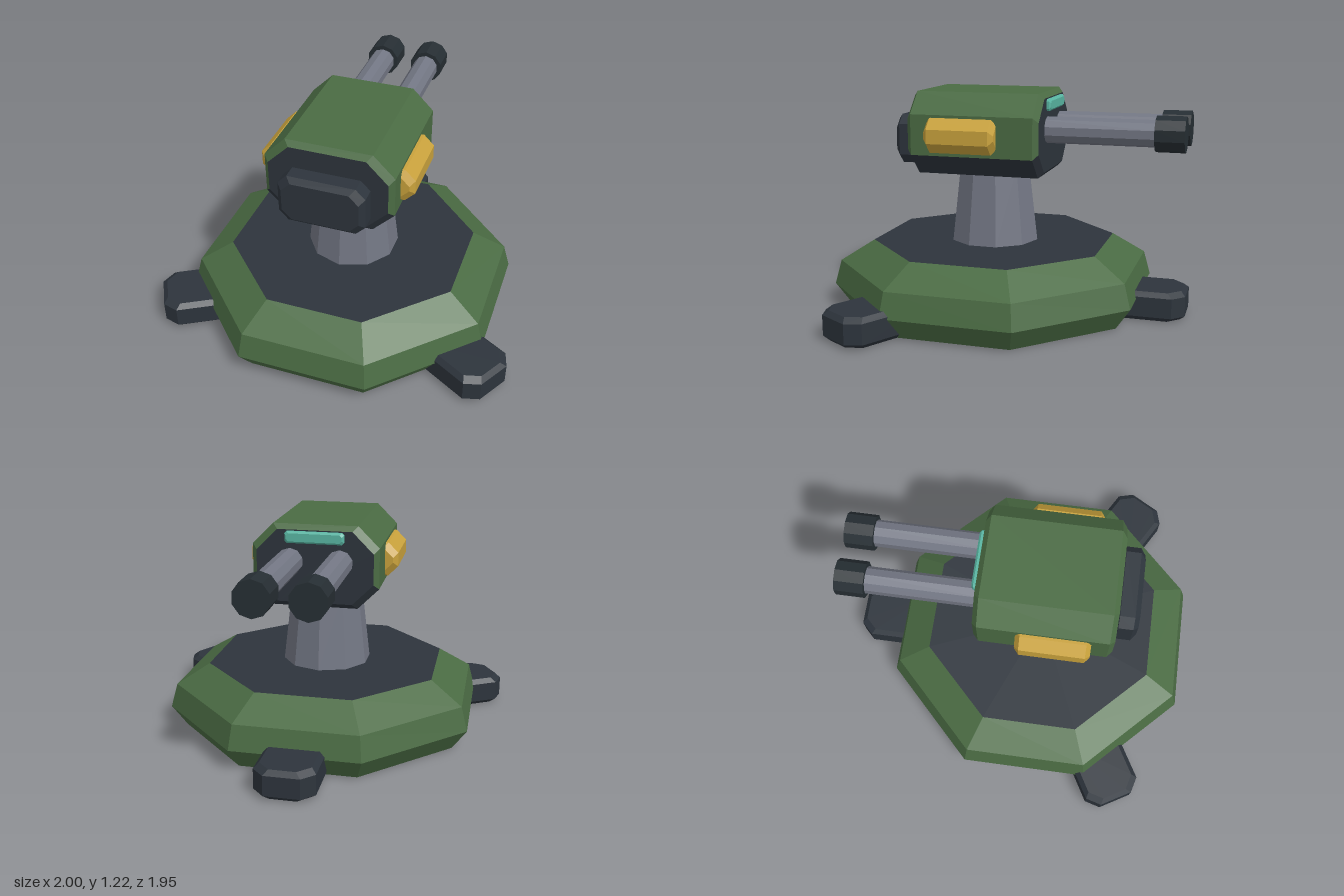
import * as THREE from 'three';

const paint = (name, color) => {
  const m = new THREE.MeshStandardMaterial({ color });
  m.name = name;
  return m;
};

// Faceted copy of a built-in geometry
function faceted(geo) {
  const g = geo.index ? geo.toNonIndexed() : geo;
  g.computeVertexNormals();
  return g;
}

// Octagonal bar along z: half sizes hx, hy, corner cut, z range, bevelled ends.
// pick(side, band) chooses the material index; side 0 is the right flank, counting anticlockwise,
// band 1 is the flank, bands 0 and 2 the bevels; caps use side -1.
function octagonBar(hx, hy, cut, z0, z1, bevel, pick = () => 0) {
  const ring = (b, z) => {
    const x = hx - b, y = hy - b, c = cut;
    return [[x, c - y], [x, y - c], [x - c, y], [c - x, y],
      [-x, y - c], [-x, c - y], [c - x, -y], [x - c, -y]].map(([u, v]) => [u, v, z]);
  };
  const rings = [ring(bevel, z0), ring(0, z0 + bevel), ring(0, z1 - bevel), ring(bevel, z1)];
  const pos = [];
  const geo = new THREE.BufferGeometry();
  const face = (points, material) => {
    const start = pos.length / 3;
    for (let i = 1; i < points.length - 1; i++) pos.push(...points[0], ...points[i], ...points[i + 1]);
    geo.addGroup(start, pos.length / 3 - start, material);
  };
  for (let band = 0; band < 3; band++) {
    for (let i = 0; i < 8; i++) {
      const j = (i + 1) % 8, a = rings[band], b = rings[band + 1];
      face([a[i], a[j], b[j], b[i]], pick(i, band));
    }
  }
  face([...rings[0]].reverse(), pick(-1, 0));
  face(rings[3], pick(-1, 2));
  geo.setAttribute('position', new THREE.Float32BufferAttribute(pos, 3));
  geo.computeVertexNormals();
  return geo;
}

export function createModel() {
  const model = new THREE.Group();
  model.name = 'turret';
  const green = paint('armour green', 0x4a6b43);
  const dark = paint('dark plate', 0x2d343c);
  const gunmetal = paint('gunmetal', 0x262e33);
  const steel = paint('steel grey', 0x727683);
  const yellow = paint('yellow panel', 0xc9a23c);
  const teal = paint('teal sensor', 0x58b5a2);

  const add = (name, geo, material, parent = model, x = 0, y = 0, z = 0) => {
    const mesh = new THREE.Mesh(geo, material);
    mesh.name = name;
    mesh.position.set(x, y, z);
    parent.add(mesh);
    return mesh;
  };

  // Octagonal base, sized by distance to its flats
  const base = new THREE.Group();
  base.name = 'base';
  base.position.z = 0.125;
  model.add(base);
  const toCorner = 1 / Math.cos(Math.PI / 8);
  const profile = [[0, 0], [0.765, 0], [0.845, 0.12], [0.81, 0.255], [0.635, 0.37]]
    .map(([r, y]) => new THREE.Vector2(r * toCorner, y));
  add('baseHull', faceted(new THREE.LatheGeometry(profile, 8).rotateY(Math.PI / 8)), green, base);
  add('baseDeck', new THREE.CircleGeometry(0.635 * toCorner, 8).rotateZ(Math.PI / 8).rotateX(-Math.PI / 2),
    dark, base, 0, 0.37, 0);

  // Three feet, one at the back and two towards the front
  for (let i = 0; i < 3; i++) {
    const leg = new THREE.Group();
    leg.name = 'foot' + (i + 1);
    leg.rotation.y = i * Math.PI * 2 / 3;
    base.add(leg);
    add('footPad', octagonBar(0.16, 0.24, 0.065, 0, 0.16, 0.025).rotateX(-Math.PI / 2), dark, leg, 0, 0, -0.86);
  }

  // Tapered column
  add('column', faceted(new THREE.CylinderGeometry(0.2, 0.25, 0.43, 10)), steel, base, 0, 0.585, 0);

  // Head: green upper shell, dark ends and underside
  const head = new THREE.Group();
  head.name = 'head';
  head.position.y = 0.99;
  model.add(head);
  add('headShell', octagonBar(0.345, 0.225, 0.115, -0.215, 0.517, 0.027,
    (side) => (side >= 0 && side <= 4 ? 0 : 1)), [green, dark], head);
  add('frontHatch', octagonBar(0.23, 0.135, 0.05, 0.5, 0.632, 0.027), dark, head, 0, -0.045, 0);
  add('rearSensor', octagonBar(0.16, 0.032, 0.012, -0.238, -0.18, 0.01), teal, head, 0, 0.16, 0);

  // Side panels and twin barrels
  for (const s of [1, -1]) {
    const side = s > 0 ? 'left' : 'right';
    add(side + 'Panel', octagonBar(0.08, 0.093, 0.055, 0.01, 0.4, 0.025), yellow, head, s * 0.335, 0.002, 0);
    const tube = (r, length) => faceted(new THREE.CylinderGeometry(r, r, length, 10)).rotateX(Math.PI / 2);
    add(side + 'Barrel', tube(0.072, 0.7), steel, head, s * 0.135, 0.027, -0.5);
    add(side + 'Muzzle', tube(0.096, 0.155), gunmetal, head, s * 0.135, 0.027, -0.876);
  }
  return model;
}
